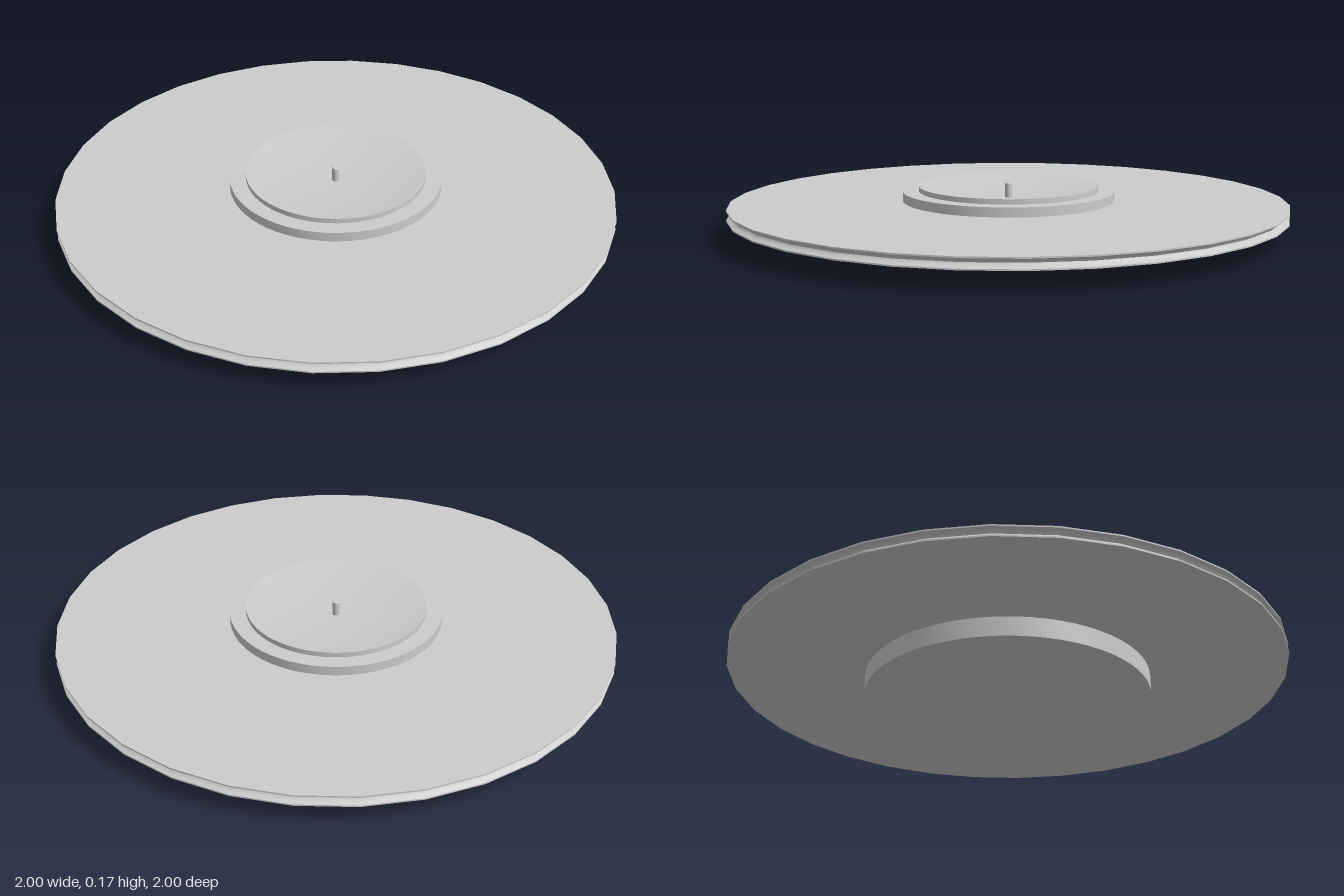
import * as THREE from 'three';
import { toCreasedNormals } from 'three/addons/utils/BufferGeometryUtils.js';

const material = new THREE.MeshStandardMaterial({ color: 0xcccccc });

// Turned part: profile of [radius, height] pairs, running from the bottom up the outside
function turned(name, profile, segments) {
  const points = profile.map(([r, y]) => new THREE.Vector2(r, y));
  const geometry = toCreasedNormals(new THREE.LatheGeometry(points, segments), 0.6);
  const mesh = new THREE.Mesh(geometry, material);
  mesh.name = name;
  return mesh;
}

export function createModel() {
  const group = new THREE.Group();
  group.name = 'groovedWheel';

  // Round foot under the disc
  group.add(turned('base', [[0, 0], [0.515, 0], [0.515, 0.075], [0, 0.075]], 64));

  // Wide disc with a shallow concave groove around its rim
  const rim = [];
  for (let i = 0; i <= 6; i++) {
    const t = i / 6;
    rim.push([1 - 0.018 * Math.sin(Math.PI * t), 0.075 + 0.03 * t]);
  }
  group.add(turned('disc', [[0, 0.07], [1, 0.07], ...rim, [1, 0.11], [0, 0.11]], 32));

  // Stepped hub with a shallow conical dish in its top
  group.add(turned('hub', [
    [0, 0.105], [0.383, 0.105], [0.383, 0.144],
    [0.325, 0.144], [0.325, 0.162], [0, 0.115],
  ], 64));

  // Centre pin
  group.add(turned('pin', [[0, 0.11], [0.014, 0.11], [0.014, 0.168], [0.01, 0.171], [0, 0.171]], 16));

  return group;
}
